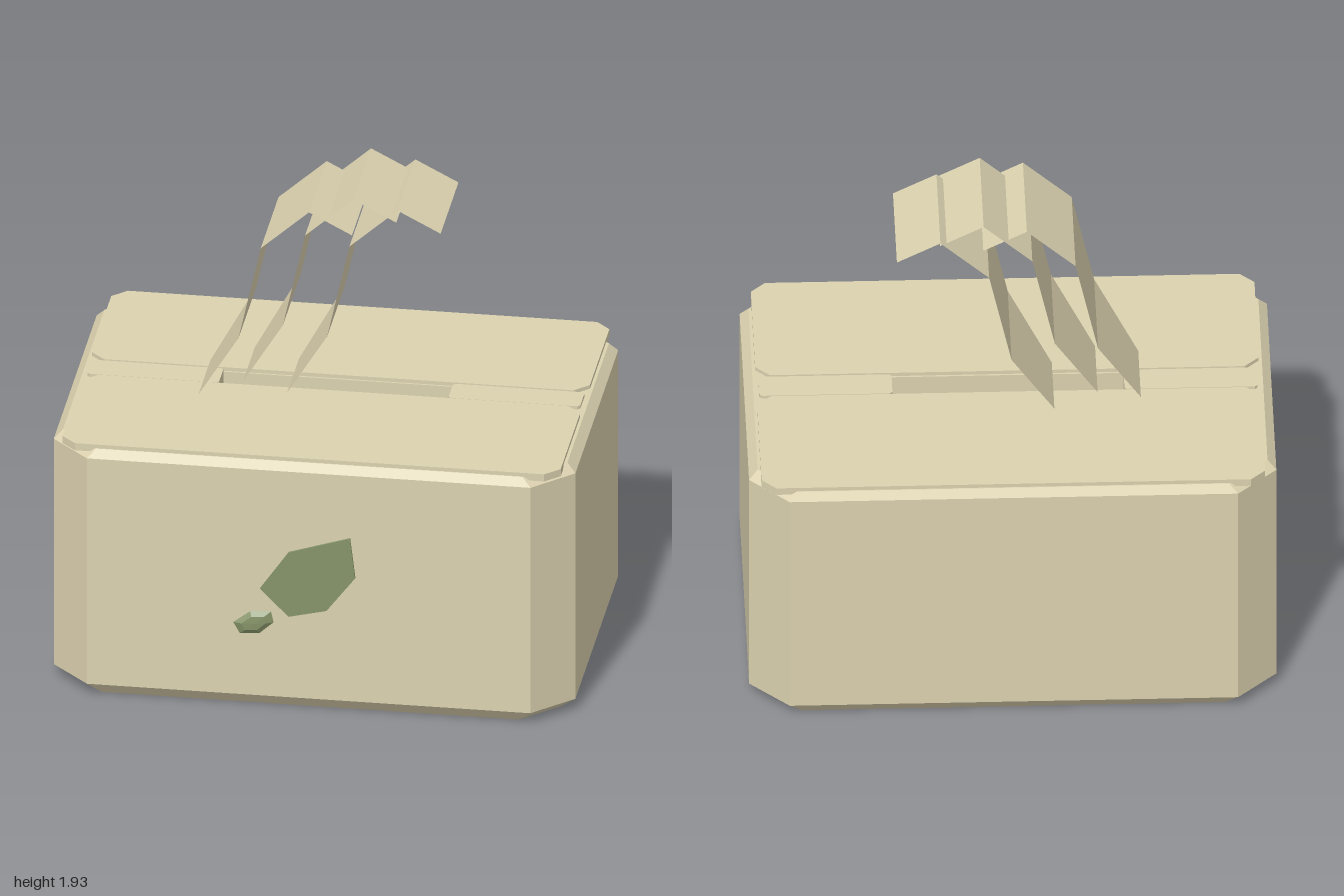
import * as THREE from 'three';

const cream = new THREE.MeshStandardMaterial({ color: 0xdcd2b0, flatShading: true, side: THREE.DoubleSide });
cream.name = 'cream';
const green = new THREE.MeshStandardMaterial({ color: 0x869468, flatShading: true });
green.name = 'leaf green';

const CZ = -0.02; // middle of the box in z
const HOLE_X = 0.44, HOLE_Z = 0.06;

// Rectangle with cut corners, in plan; y of the shape is -z of the model
function octagon(hx, hz, cut) {
  return [
    [hx, -hz + cut], [hx, hz - cut], [hx - cut, hz], [-hx + cut, hz],
    [-hx, hz - cut], [-hx, -hz + cut], [-hx + cut, -hz], [hx - cut, -hz],
  ];
}
const toShape = (pts) => new THREE.Shape(pts.map(([x, y]) => new THREE.Vector2(x, y)));

function addMesh(group, name, geometry, material) {
  const mesh = new THREE.Mesh(geometry, material);
  mesh.name = name;
  group.add(mesh);
  return mesh;
}

// Walls joining stacked loops of [x, y, z] points
function loft(rings) {
  const n = rings[0].length, index = [];
  for (let r = 0; r < rings.length - 1; r++) {
    for (let i = 0; i < n; i++) {
      const a = r * n + i, b = r * n + (i + 1) % n;
      index.push(a, b, b + n, a, b + n, a + n);
    }
  }
  const geometry = new THREE.BufferGeometry();
  geometry.setAttribute('position', new THREE.Float32BufferAttribute(rings.flat(2), 3));
  geometry.setIndex(index);
  const flat = geometry.toNonIndexed();
  flat.computeVertexNormals();
  return flat;
}

// Flat slab from a plan shape, standing on y
function slab(shape, y, height, z) {
  const geometry = new THREE.ExtrudeGeometry(shape, { depth: height, bevelEnabled: false });
  return geometry.rotateX(-Math.PI / 2).translate(0, y, z);
}

// Sheet swept along a side profile, narrow at its base
function sheet(x0, y0, z0) {
  const profile = [[0, 0, 0.15], [0.165, 0.285, 0.225], [0.25, 0.67, 0.225], [0.435, 0.835, 0.225], [0.6, 0.75, 0.225]];
  const position = [], index = [];
  profile.forEach(([x, y, w], i) => {
    position.push(x0 + x, y0 + y, z0 + w, x0 + x, y0 + y, z0 - w);
    if (i) {
      const a = 2 * i - 2;
      index.push(a, a + 2, a + 1, a + 1, a + 2, a + 3);
    }
  });
  const geometry = new THREE.BufferGeometry();
  geometry.setAttribute('position', new THREE.Float32BufferAttribute(position, 3));
  geometry.setIndex(index);
  const flat = geometry.toNonIndexed();
  flat.computeVertexNormals();
  return flat;
}

export function createModel() {
  const model = new THREE.Group();
  model.name = 'tissueBox';

  // Box walls with bevelled top and bottom edges
  const body = new THREE.Group();
  body.name = 'body';
  model.add(body);
  const levels = [[0, 0.94, 0.65, 0.14], [0.05, 1, 0.69, 0.15], [1, 1, 0.69, 0.15], [1.035, 0.967, 0.672, 0.15]];
  const rings = levels.map(([y, hx, hz, cut]) => octagon(hx, hz, cut).map(([x, s]) => [x, y, CZ - s]));
  addMesh(body, 'walls', loft(rings), cream);

  // Base and top deck, the deck with an opening for the tissues
  const base = new THREE.ShapeGeometry(toShape(octagon(0.94, 0.65, 0.14)));
  addMesh(body, 'base', base.rotateX(Math.PI / 2).translate(0, 0, CZ), cream);
  const deckShape = toShape(octagon(0.967, 0.672, 0.15));
  const opening = [[-HOLE_X, -HOLE_Z], [-HOLE_X, HOLE_Z], [HOLE_X, HOLE_Z], [HOLE_X, -HOLE_Z]];
  deckShape.holes.push(new THREE.Path(opening.map(([x, y]) => new THREE.Vector2(x, y))));
  const deck = new THREE.ShapeGeometry(deckShape);
  addMesh(body, 'deck', deck.rotateX(-Math.PI / 2).translate(0, 1.035, CZ), cream);

  // Pocket below the opening
  const pocketRings = [0.8, 1.035].map((y) => opening.map(([x, s]) => [x, y, CZ - s]));
  addMesh(body, 'pocketWalls', loft(pocketRings), cream);
  const floor = new THREE.PlaneGeometry(HOLE_X * 2, HOLE_Z * 2);
  addMesh(body, 'pocketFloor', floor.rotateX(-Math.PI / 2).translate(0, 0.8, CZ), cream);

  // Two lid flaps and the two end strips of the slot between them
  for (const side of [-1, 1]) {
    const flap = slab(toShape(octagon(0.955, 0.3, 0.055)), 1.02, 0.03, CZ + side * 0.368);
    addMesh(model, side > 0 ? 'frontLidFlap' : 'backLidFlap', flap, cream);
    const strip = slab(toShape(octagon(0.2525, 0.062, 0.01)), 1.02, 0.028, CZ);
    addMesh(model, side > 0 ? 'leftSlotStrip' : 'rightSlotStrip', strip.translate(side * 0.6925, 0, 0), cream);
  }

  // Three folded tissues, each shifted a little
  const tissues = new THREE.Group();
  tissues.name = 'tissues';
  model.add(tissues);
  [[-0.5, 1.05, 0.01], [-0.335, 1.1, -0.023], [-0.17, 1.05, -0.055]].forEach((p, i) => {
    addMesh(tissues, 'tissue' + (i + 1), sheet(...p), cream);
  });

  // Large leaf on the front
  const leaf = toShape([[-0.185, 0.505], [-0.075, 0.395], [0.07, 0.43], [0.18, 0.575], [0.16, 0.74], [-0.075, 0.665]]);
  const leafGeometry = new THREE.ExtrudeGeometry(leaf, { depth: 0.009, bevelEnabled: false });
  addMesh(model, 'largeLeaf', leafGeometry.translate(0, 0, 0.674), green);

  // Small thicker leaf, tapering to front and back
  const outline = [[-0.285, 0.365], [-0.26, 0.32], [-0.185, 0.325], [-0.13, 0.375], [-0.14, 0.42], [-0.22, 0.415]];
  const ring = (z, s) => outline.map(([x, y]) => [-0.205 + (x + 0.205) * s, 0.37 + (y - 0.37) * s, z]);
  const bud = loft([ring(0.682, 0.01), ring(0.684, 0.6), ring(0.697, 1), ring(0.71, 0.6), ring(0.712, 0.01)]);
  addMesh(model, 'smallLeaf', bud, green);

  return model;
}
